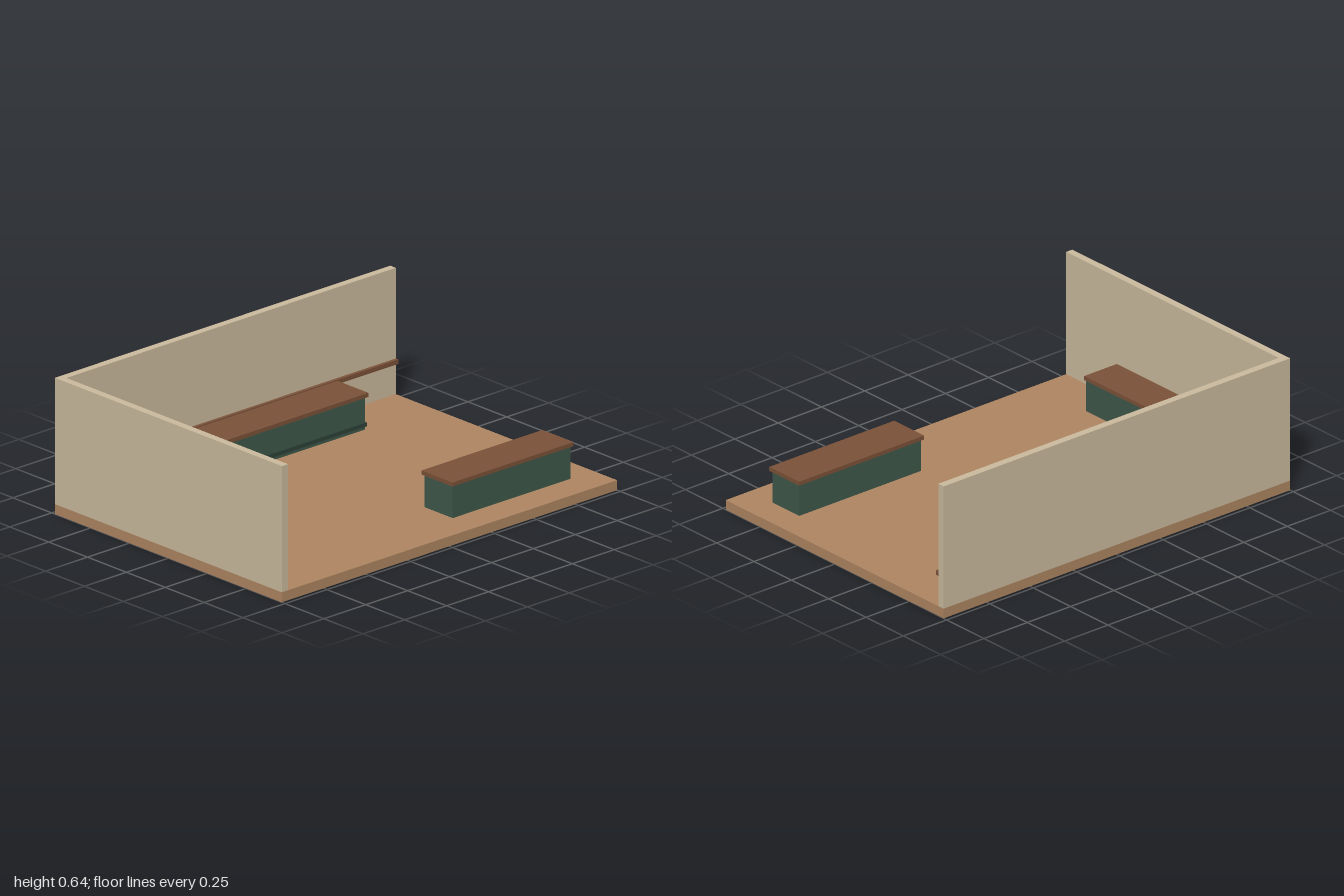
import * as THREE from 'three';

const material = (color) => new THREE.MeshStandardMaterial({ color });

export function createModel() {
  const room = new THREE.Group();
  room.name = 'room';

  const wall = material(0xcdbd9f);
  const floor = material(0xb08763);
  const wood = material(0x7d5339);
  const cabinet = material(0x40594c);
  const darkTrim = material(0x2e4238);

  // Box spanning the given [min, max] ranges
  const addBox = (parent, name, mat, [x0, x1], [y0, y1], [z0, z1]) => {
    const mesh = new THREE.Mesh(new THREE.BoxGeometry(x1 - x0, y1 - y0, z1 - z0), mat);
    mesh.position.set((x0 + x1) / 2, (y0 + y1) / 2, (z0 + z1) / 2);
    mesh.name = name;
    parent.add(mesh);
  };

  const floorY = 0.047, baseTop = 0.2, counterTop = 0.219, wallTop = 0.639;

  // Floor slab and the two walls
  addBox(room, 'floor', floor, [-1, 1], [0, floorY], [-0.73, 0.73]);
  addBox(room, 'backWall', wall, [-1, 1], [floorY, wallTop], [-0.73, -0.694]);
  addBox(room, 'sideWall', wall, [-1, -0.964], [floorY, wallTop], [-0.694, 0.73]);

  // Rail along the back wall
  addBox(room, 'wallRail', wood, [-0.964, 1], [0.193, 0.214], [-0.694, -0.677]);

  // Counters: cabinet base with a wooden top
  const addCounter = (name, baseX, baseZ, topX, topZ) => {
    const counter = new THREE.Group();
    counter.name = name;
    addBox(counter, 'cabinetBase', cabinet, baseX, [floorY, baseTop], baseZ);
    addBox(counter, 'countertop', wood, topX, [baseTop, counterTop], topZ);
    room.add(counter);
    return counter;
  };

  const back = addCounter('backCounter', [-0.94, 0.61], [-0.65, -0.47], [-0.946, 0.62], [-0.658, -0.46]);
  addBox(back, 'footRail', darkTrim, [-0.785, 0.61], [0.065, 0.083], [-0.47, -0.46]);

  // The side top meets the back top; it is split so the surfaces do not overlap
  const side = addCounter('sideCounter', [-0.964, -0.785], [-0.47, 0.39], [-0.964, -0.775], [-0.46, 0.39]);
  addBox(side, 'cornerTop', wood, [-0.964, -0.946], [baseTop, counterTop], [-0.575, -0.46]);
  addBox(side, 'cornerBase', cabinet, [-0.964, -0.94], [floorY, baseTop], [-0.575, -0.47]);

  addCounter('island', [0.16, 0.862], [0.398, 0.578], [0.15, 0.872], [0.387, 0.588]);

  return room;
}
